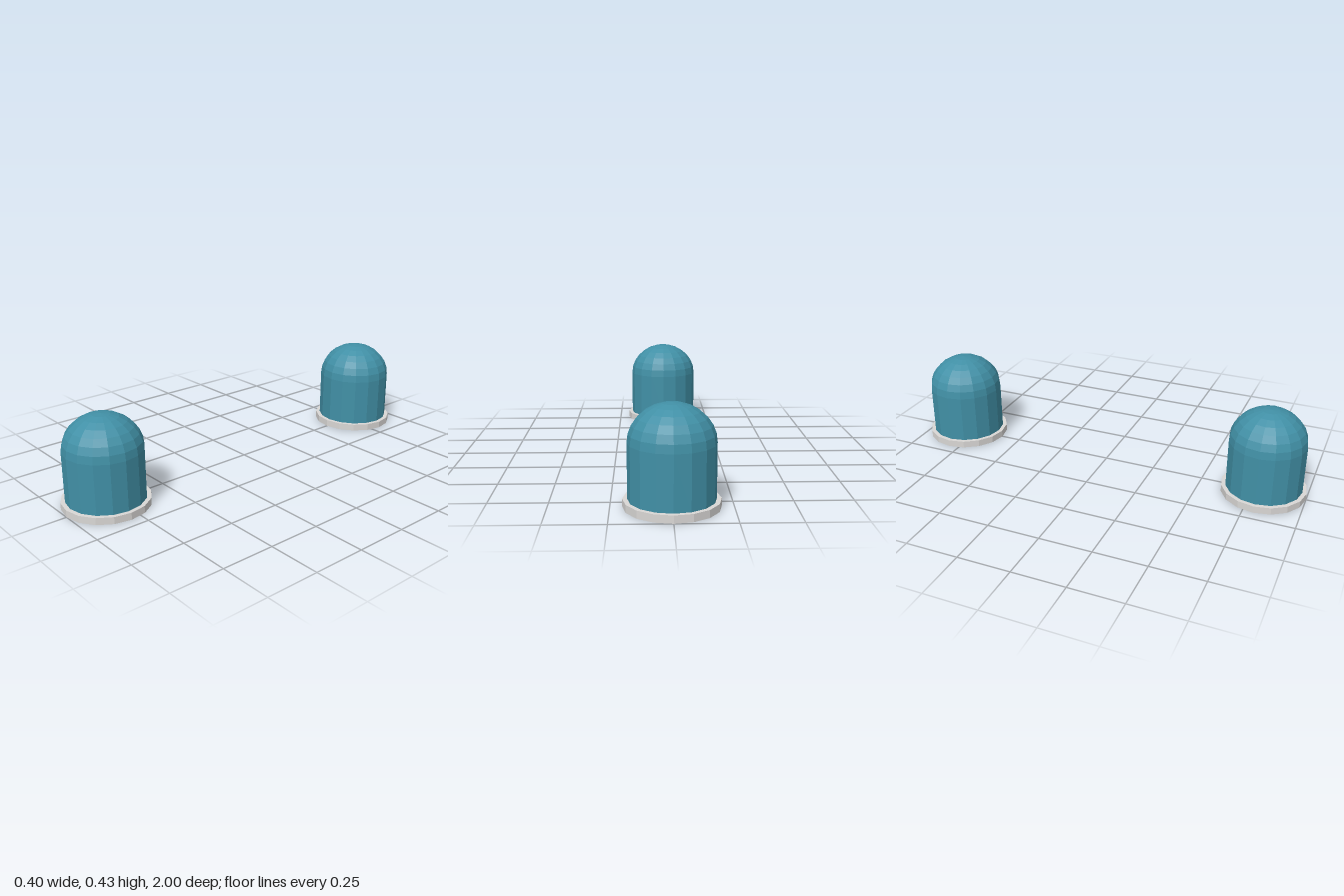
import * as THREE from 'three';

export function createModel() {
  const group = new THREE.Group();
  const teal = new THREE.MeshStandardMaterial({ name: 'teal', color: 0x4190a6, flatShading: true });
  const paleGrey = new THREE.MeshStandardMaterial({ name: 'paleGrey', color: 0xd9d7d5, flatShading: true });

  const sides = 16, radius = 0.18, baseHeight = 0.033, shoulder = 0.265, top = 0.427;

  // Straight wall followed by a slightly flattened dome
  const profile = [new THREE.Vector2(radius, baseHeight)];
  const rings = 7;
  for (let i = 0; i <= rings; i++) {
    const a = (i / rings) * Math.PI / 2;
    profile.push(new THREE.Vector2(
      i === rings ? 0 : radius * Math.cos(a),
      shoulder + (top - shoulder) * Math.sin(a)
    ));
  }
  const domeGeometry = new THREE.LatheGeometry(profile, sides);
  const baseGeometry = new THREE.CylinderGeometry(0.2, 0.2, baseHeight, sides);

  // One domed post at the front and one at the back
  for (const [name, z] of [['frontPost', 0.8], ['backPost', -0.8]]) {
    const post = new THREE.Group();
    post.name = name;
    post.position.z = z;

    const dome = new THREE.Mesh(domeGeometry, teal);
    dome.name = 'domedBody';

    const base = new THREE.Mesh(baseGeometry, paleGrey);
    base.name = 'basePlate';
    base.position.y = baseHeight / 2;

    post.add(dome, base);
    group.add(post);
  }
  return group;
}
